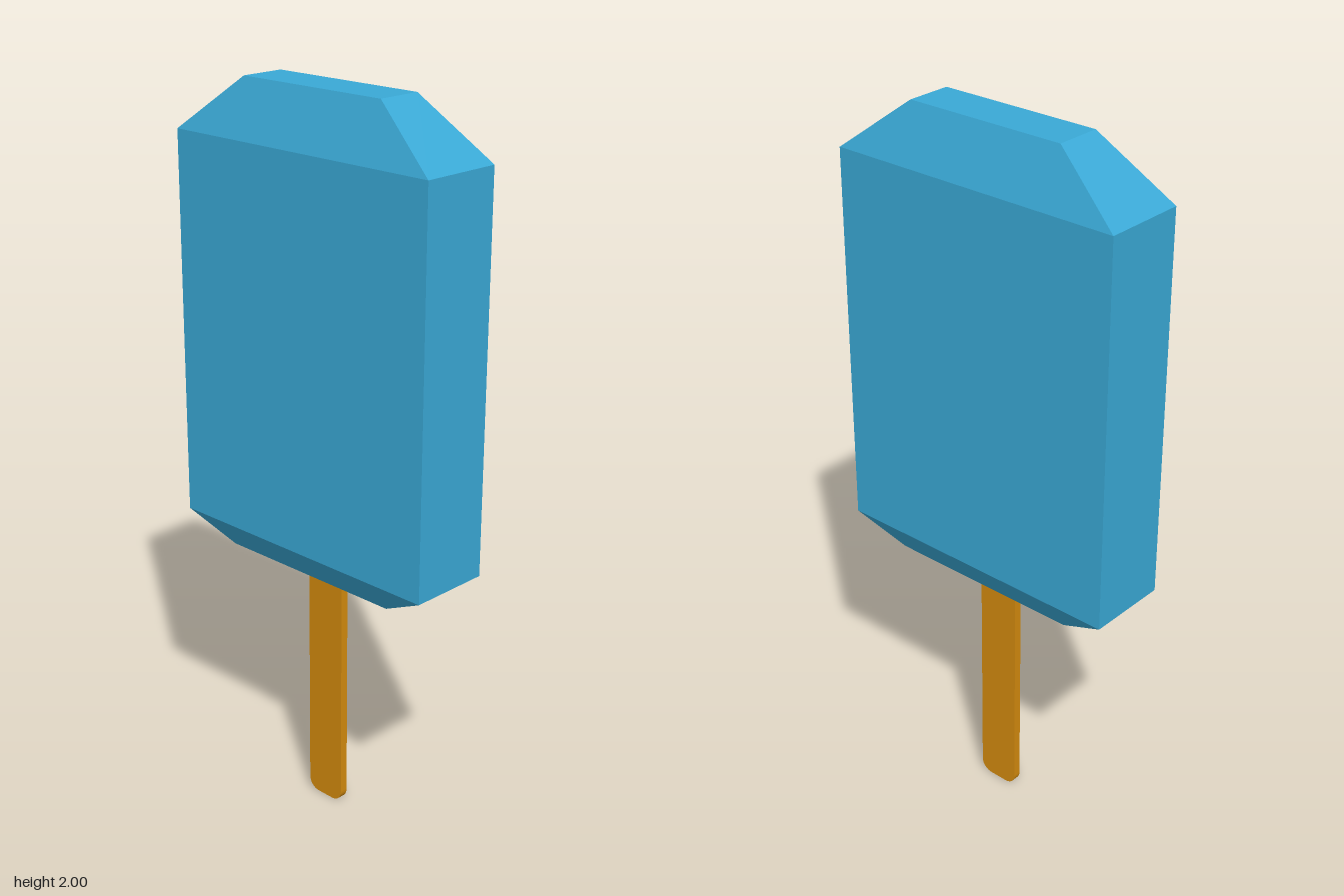
import * as THREE from 'three';

// Rings of the ice block: height, half width (x), half depth (z)
const RINGS = [
  [0.715, 0.078, 0.284],
  [0.79, 0.116, 0.428],
  [1.85, 0.116, 0.428],
  [2.0, 0.063, 0.231],
];

function flatMesh(name, geometry, color) {
  const flat = geometry.index ? geometry.toNonIndexed() : geometry;
  flat.computeVertexNormals();
  const material = new THREE.MeshStandardMaterial({ color, flatShading: true });
  const mesh = new THREE.Mesh(flat, material);
  mesh.name = name;
  return mesh;
}

// Block with chamfered top and bottom: a box whose rows follow the rings
function createIceBlock() {
  const geometry = new THREE.BoxGeometry(2, 3, 2, 1, 3, 1);
  const pos = geometry.attributes.position;
  for (let i = 0; i < pos.count; i++) {
    const [y, halfX, halfZ] = RINGS[Math.round(pos.getY(i) + 1.5)];
    pos.setXYZ(i, Math.sign(pos.getX(i)) * halfX, y, Math.sign(pos.getZ(i)) * halfZ);
  }
  return flatMesh('iceBlock', geometry, 0x3aa9d6);
}

// Thin flat stick with rounded lower corners, its top sunk into the block
function createStick() {
  const half = 0.061, top = 0.76, radius = 0.034, thickness = 0.023;
  const shape = new THREE.Shape();
  shape.moveTo(half, top);
  shape.lineTo(-half, top);
  shape.lineTo(-half, radius);
  shape.absarc(-half + radius, radius, radius, Math.PI, Math.PI * 1.5, false);
  shape.absarc(half - radius, radius, radius, Math.PI * 1.5, Math.PI * 2, false);
  shape.closePath();
  const geometry = new THREE.ExtrudeGeometry(shape, {
    depth: thickness, bevelEnabled: false, curveSegments: 4,
  });
  geometry.translate(0, 0, -thickness / 2).rotateY(Math.PI / 2);
  return flatMesh('stick', geometry, 0xd48b0e);
}

export function createModel() {
  const model = new THREE.Group();
  model.name = 'icePop';
  model.add(createIceBlock(), createStick());
  return model;
}
